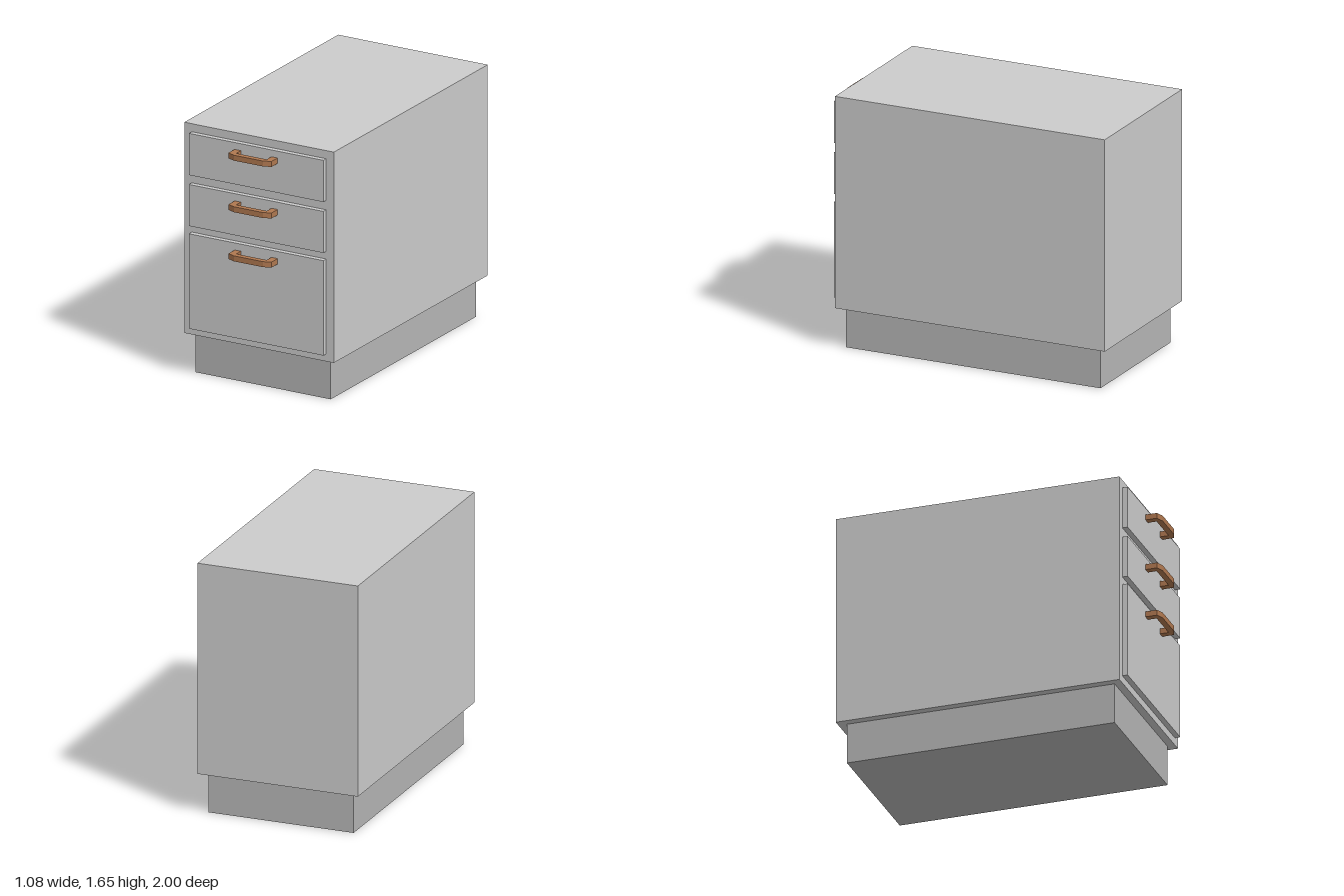
import * as THREE from 'three';

const grey = new THREE.MeshStandardMaterial({ color: 0xcccccc });
const darkGrey = new THREE.MeshStandardMaterial({ color: 0xb5b5b5 });
const brown = new THREE.MeshStandardMaterial({ color: 0xb07850 });

// Box given by its half width and its y and z ranges
function box(name, halfW, y0, y1, z0, z1, material) {
  const mesh = new THREE.Mesh(new THREE.BoxGeometry(2 * halfW, y1 - y0, z1 - z0), material);
  mesh.position.set(0, (y0 + y1) / 2, (z0 + z1) / 2);
  mesh.name = name;
  return mesh;
}

// Bracket handle with chamfered outer corners, outlined in plan (x, z)
function handleGeometry(height) {
  const half = [[0.11, 0], [0.155, 0], [0.155, 0.075], [0.105, 0.095]];
  const inner = [0.11, 0.057];
  const outline = [
    inner, ...half,
    ...half.slice().reverse().map(([x, z]) => [-x, z]),
    [-inner[0], inner[1]],
  ].map(([x, z]) => new THREE.Vector2(x, z));
  const geometry = new THREE.ExtrudeGeometry(new THREE.Shape(outline), { depth: height, bevelEnabled: false });
  geometry.translate(0, 0, -height / 2);
  geometry.rotateX(Math.PI / 2);
  return geometry;
}

export function createModel() {
  const model = new THREE.Group();
  model.name = 'drawerCabinet';

  // Carcass and recessed base
  model.add(box('cabinetBody', 0.54, 0.265, 1.655, -1, 0.87, grey));
  model.add(box('plinth', 0.488, 0, 0.265, -0.945, 0.82, darkGrey));

  // Drawers: bottom, top and handle heights
  const handleGeo = handleGeometry(0.036);
  const drawers = [
    ['topDrawer', 1.327, 1.602, 1.539],
    ['middleDrawer', 0.991, 1.265, 1.199],
    ['bottomDrawer', 0.314, 0.94, 0.875],
  ];
  for (const [name, y0, y1, handleY] of drawers) {
    const drawer = new THREE.Group();
    drawer.name = name;
    drawer.add(box('drawerFront', 0.485, y0, y1, 0.87, 0.905, grey));
    const handle = new THREE.Mesh(handleGeo, brown);
    handle.name = 'handle';
    handle.position.set(0, handleY, 0.905);
    drawer.add(handle);
    model.add(drawer);
  }
  return model;
}
